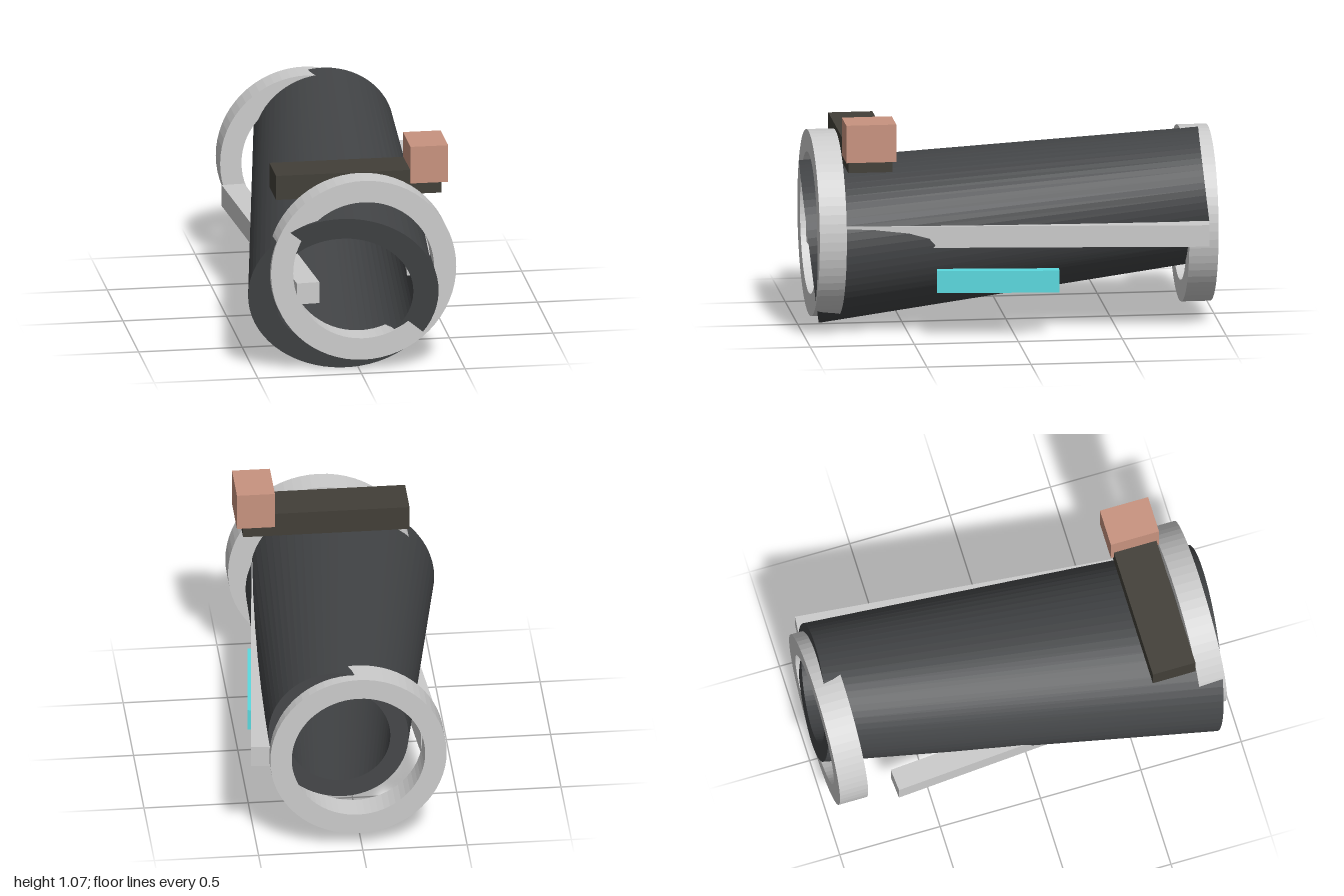
import * as THREE from 'three';

const SEGMENTS = 64;

const material = (color) => new THREE.MeshStandardMaterial({ color, flatShading: true });
const grey = material(0xcccccc);
const charcoal = material(0x424446);
const darkBrown = material(0x423f38);
const clay = material(0xc8937f);
const turquoise = material(0x5bdadf);

// Hollow sleeve between two elliptical ends; each end is {x, y, z, rx, ry, bore}.
// tiltX and tiltY lean the end planes so they stay square to a slanted axis.
function sleeve(name, mat, back, front, tiltX = 0, tiltY = 0) {
  const loops = [[back, 1], [front, 1], [front, front.bore], [back, back.bore]];
  const positions = [];
  const index = [];
  for (const [end, scale] of loops) {
    for (let i = 0; i < SEGMENTS; i++) {
      const t = (i / SEGMENTS) * Math.PI * 2;
      const dx = Math.cos(t) * end.rx * scale;
      const dy = Math.sin(t) * end.ry * scale;
      positions.push(end.x + dx, end.y + dy, end.z + dx * tiltX + dy * tiltY);
    }
  }
  for (let k = 0; k < 4; k++) {
    const p = k * SEGMENTS;
    const q = ((k + 1) % 4) * SEGMENTS;
    for (let i = 0; i < SEGMENTS; i++) {
      const j = (i + 1) % SEGMENTS;
      index.push(p + i, p + j, q + j, p + i, q + j, q + i);
    }
  }
  const geometry = new THREE.BufferGeometry();
  geometry.setAttribute('position', new THREE.Float32BufferAttribute(positions, 3));
  geometry.setIndex(index);
  geometry.computeVertexNormals();
  const mesh = new THREE.Mesh(geometry, mat);
  mesh.name = name;
  return mesh;
}

// Upright round ring, square to z
function ring(name, radius, bore, zBack, zFront) {
  const end = (z) => ({ x: 0.018, y: 0.5, z, rx: radius, ry: radius, bore: bore / radius });
  return sleeve(name, grey, end(zBack), end(zFront));
}

// Axis-aligned block given by its limits
function block(name, mat, [x0, x1], [y0, y1], [z0, z1]) {
  const mesh = new THREE.Mesh(new THREE.BoxGeometry(x1 - x0, y1 - y0, z1 - z0), mat);
  mesh.position.set((x0 + x1) / 2, (y0 + y1) / 2, (z0 + z1) / 2);
  mesh.name = name;
  return mesh;
}

// Level bar running between two points [x, z] at height y
function bar(name, mat, back, front, y, width, height) {
  const dx = front[0] - back[0];
  const dz = front[1] - back[1];
  const mesh = new THREE.Mesh(new THREE.BoxGeometry(width, height, Math.hypot(dx, dz)), mat);
  mesh.position.set((front[0] + back[0]) / 2, y, (front[1] + back[1]) / 2);
  mesh.rotation.y = Math.atan2(dx, dz);
  mesh.name = name;
  return mesh;
}

export function createModel() {
  const model = new THREE.Group();
  model.name = 'taperedTubeAssembly';

  // Slanted, tapered main tube
  model.add(sleeve('mainTube', charcoal,
    { x: 0.112, y: 0.615, z: -0.95, rx: 0.333, ry: 0.317, bore: 0.74 },
    { x: -0.078, y: 0.386, z: 0.937, rx: 0.453, ry: 0.386, bore: 0.735 },
    0.1, 0.122));

  // Collars at both ends
  model.add(ring('frontRing', 0.447, 0.34, 0.82, 0.95));
  model.add(ring('backRing', 0.423, 0.32, -0.97, -0.83));

  // Side rails
  model.add(bar('leftRail', grey, [0.473, -0.92], [0.29, 0.9], 0.498, 0.11, 0.105));
  model.add(bar('rightRail', grey, [-0.365, -0.685], [-0.245, 0.92], 0.388, 0.11, 0.105));

  // Small side strip
  model.add(bar('sideStrip', turquoise, [0.447, -0.203], [0.387, 0.378], 0.282, 0.055, 0.107));

  // Cross bar and the block on its end
  model.add(block('crossBar', darkBrown, [-0.383, 0.415], [0.826, 0.946], [0.595, 0.807]));
  model.add(block('endBlock', clay, [0.264, 0.446], [0.882, 1.065], [0.58, 0.82]));

  return model;
}
